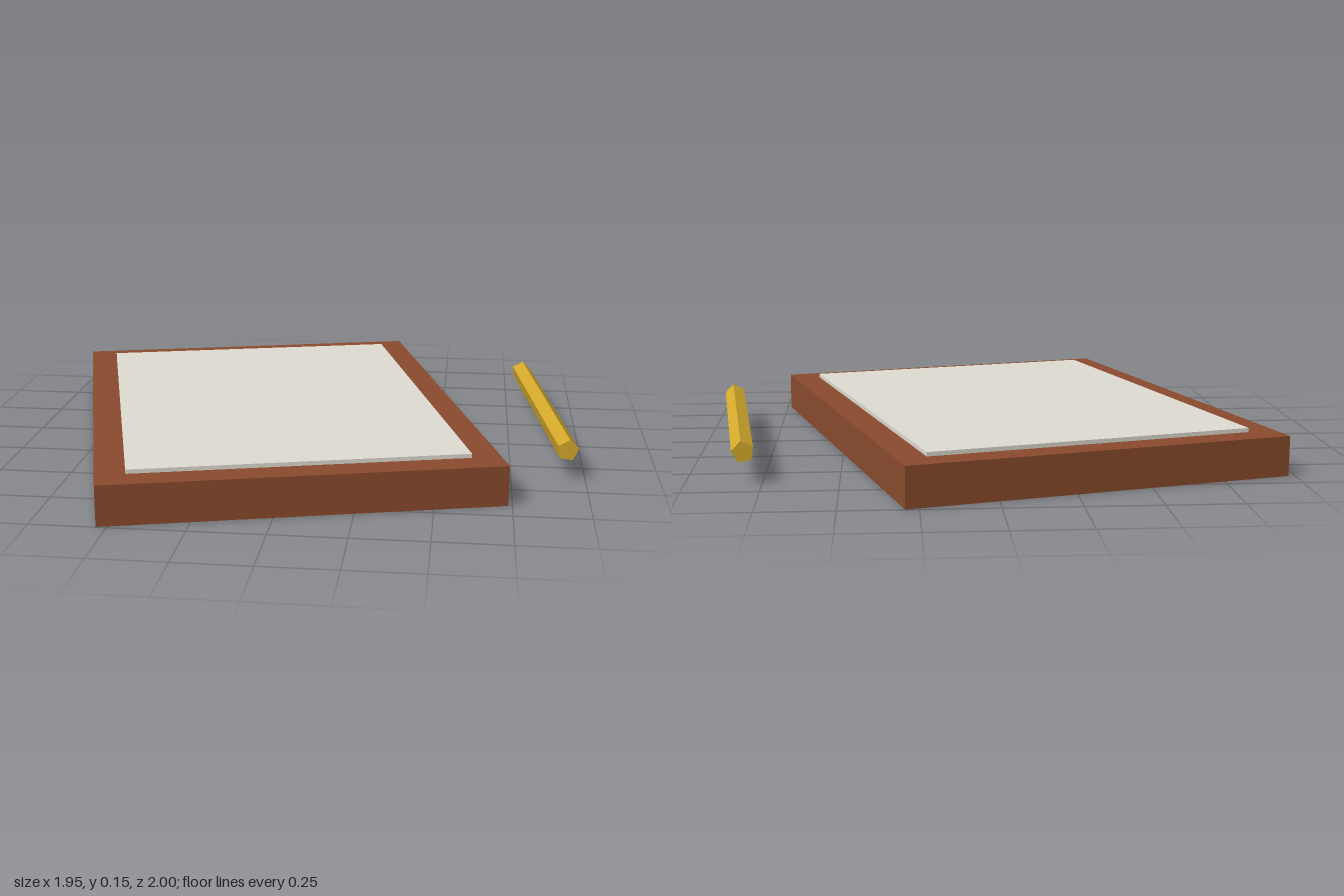
import * as THREE from 'three';

const rad = THREE.MathUtils.degToRad;

function part(name, geometry, color) {
  const material = new THREE.MeshStandardMaterial({ color, flatShading: true });
  const mesh = new THREE.Mesh(geometry, material);
  mesh.name = name;
  return mesh;
}

export function createModel() {
  const model = new THREE.Group();
  model.name = 'writingBoard';

  // Wooden board with a sheet lying on it, turned together
  const tablet = new THREE.Group();
  tablet.name = 'tablet';
  tablet.position.x = -0.12;
  tablet.rotation.y = rad(15);

  const board = part('board', new THREE.BoxGeometry(1.315, 0.135, 1.714), 0x8a4b2d);
  board.position.y = 0.0675;

  const sheet = part('sheet', new THREE.BoxGeometry(1.118, 0.03, 1.516), 0xe0dcd3);
  sheet.position.y = 0.134;
  tablet.add(board, sheet);

  // Five-sided stylus lying along z, rolled slightly to its right
  const shaft = new THREE.CylinderGeometry(0.0375, 0.0375, 1.056, 5, 1, false, Math.PI);
  shaft.rotateX(Math.PI / 2).rotateZ(rad(-9));
  const stylus = part('stylus', shaft, 0xd4a92b);
  stylus.position.set(0.872, 0.108, -0.134);
  stylus.rotation.y = rad(7);

  model.add(tablet, stylus);
  return model;
}
